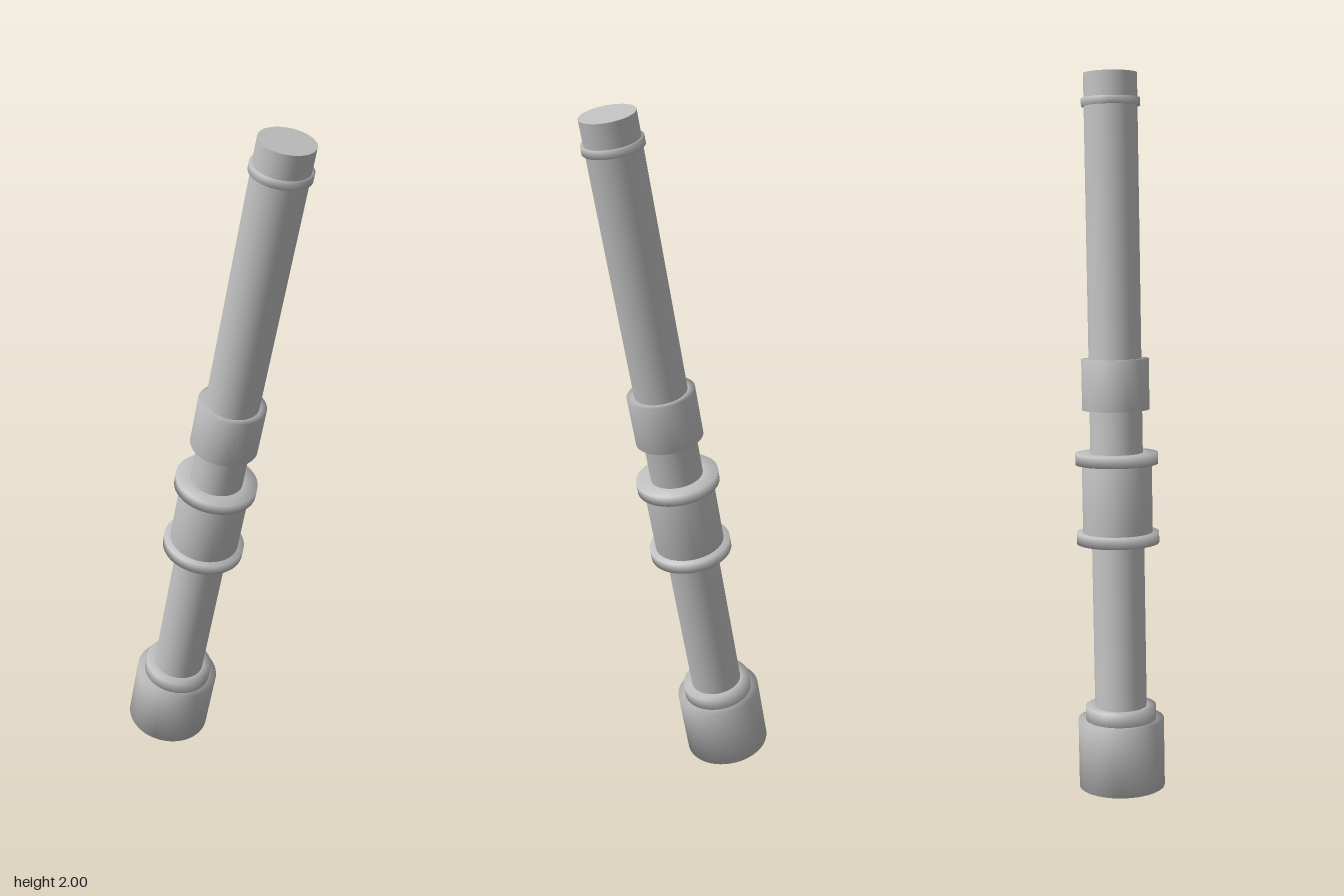
import * as THREE from 'three';

const SIDES = 48;
const TUBE_RADIUS = 0.0735;
const LENGTH = 1.997;
const TILT = 0.18;

export function createModel() {
  const grey = new THREE.MeshStandardMaterial({ color: 0xbfbfbf });
  grey.name = 'metal grey';

  const shaft = new THREE.Group();
  shaft.name = 'leaningShaft';

  function add(name, geometry) {
    const mesh = new THREE.Mesh(geometry, grey);
    mesh.name = name;
    shaft.add(mesh);
    return mesh;
  }

  // Band around the tube, with normals blended softly over its rims
  function band(name, radius, from, to, innerBottom = 0.07) {
    const profile = [[innerBottom, from], [radius, from], [radius, to], [0.07, to]]
      .map(([r, y]) => new THREE.Vector2(r, y));
    add(name, new THREE.LatheGeometry(profile, SIDES));
  }

  // Straight main tube with a flat top
  add('mainTube', new THREE.CylinderGeometry(TUBE_RADIUS, TUBE_RADIUS, LENGTH - 0.02, SIDES))
    .position.y = (LENGTH + 0.02) / 2;

  // Heavy foot, closed underneath, and the ring on top of it
  band('foot', 0.122, 0, 0.195, 0);
  band('footRing', 0.1, 0.19, 0.233);

  // Grip sleeve between two flanges
  band('lowerFlange', 0.116, 0.703, 0.734);
  band('gripSleeve', 0.098, 0.72, 0.945);
  band('upperFlange', 0.116, 0.927, 0.958);

  // Collar and the thin ring below the tip
  band('collar', 0.094, 1.079, 1.221);
  band('tipRing', 0.081, 1.909, 1.93);

  // Lean the shaft to the model's left, resting on the edge of the foot
  shaft.rotation.z = -TILT;
  shaft.position.set(-0.155, 0.0218, 0);

  const model = new THREE.Group();
  model.name = 'bandedTube';
  model.add(shaft);
  return model;
}
